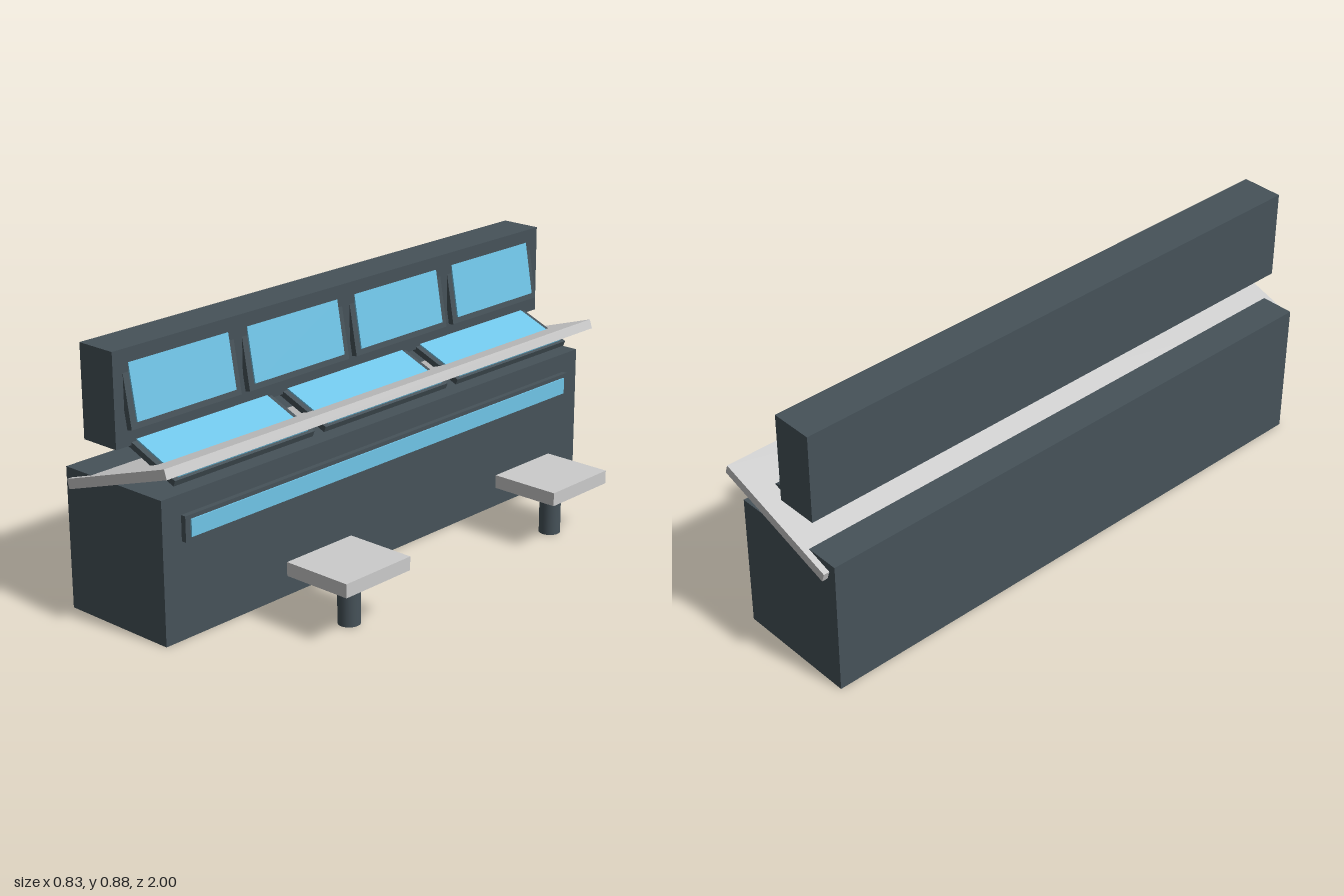
import * as THREE from 'three';

const dark = new THREE.MeshStandardMaterial({ color: 0x465259 });
const blue = new THREE.MeshStandardMaterial({ color: 0x70c5e8 });
const grey = new THREE.MeshStandardMaterial({ color: 0xcccccc });

function box(name, parent, material, size, position) {
  const mesh = new THREE.Mesh(new THREE.BoxGeometry(...size), material);
  mesh.name = name;
  mesh.position.set(...position);
  parent.add(mesh);
  return mesh;
}

// Framed panel facing local +x, tilted about z; x, y, z locate the frame's centre
function panel(name, parent, [x, y, z], tilt, depth, frameSize, glassSize) {
  const group = new THREE.Group();
  group.name = name;
  group.position.set(x, y, z);
  group.rotation.z = THREE.MathUtils.degToRad(tilt);
  box('frame', group, dark, [depth, ...frameSize], [0, 0, 0]);
  box('glass', group, blue, [0.01, ...glassSize], [depth / 2, 0, 0]);
  parent.add(group);
}

export function createModel() {
  const model = new THREE.Group();
  model.name = 'controlConsole';

  // Cabinets and sloping desk
  box('baseCabinet', model, dark, [0.424, 0.465, 1.96], [-0.201, 0.2325, 0]);
  box('upperCabinet', model, dark, [0.143, 0.301, 1.96], [-0.2495, 0.7245, 0]);
  const desk = box('desk', model, grey, [0.463, 0.032, 2], [-0.163, 0.492, 0]);
  desk.rotation.z = THREE.MathUtils.degToRad(18);

  // Upright monitors leaning back into the upper cabinet
  for (const z of [-0.72, -0.24, 0.24, 0.72]) {
    panel('monitor', model, [-0.177, 0.739, z], 10, 0.02, [0.22, 0.445], [0.18, 0.4]);
  }

  // Low control screens sunk into the desk
  for (const z of [-0.63, 0, 0.63]) {
    panel('controlScreen', model, [-0.108, 0.544, z], 68, 0.02, [0.24, 0.58], [0.22, 0.54]);
  }

  // Long light strip on the front of the base
  panel('lightStrip', model, [0.019, 0.358, 0], 0, 0.02, [0.083, 1.81], [0.056, 1.77]);

  // Stools
  for (const z of [-0.49, 0.49]) {
    const stool = new THREE.Group();
    stool.name = 'stool';
    stool.position.set(0.291, 0, z);
    box('seat', stool, grey, [0.244, 0.045, 0.28], [0, 0.186, 0]);
    const post = new THREE.Mesh(new THREE.CylinderGeometry(0.036, 0.036, 0.164, 24), dark);
    post.name = 'post';
    post.position.y = 0.082;
    stool.add(post);
    model.add(stool);
  }

  return model;
}
